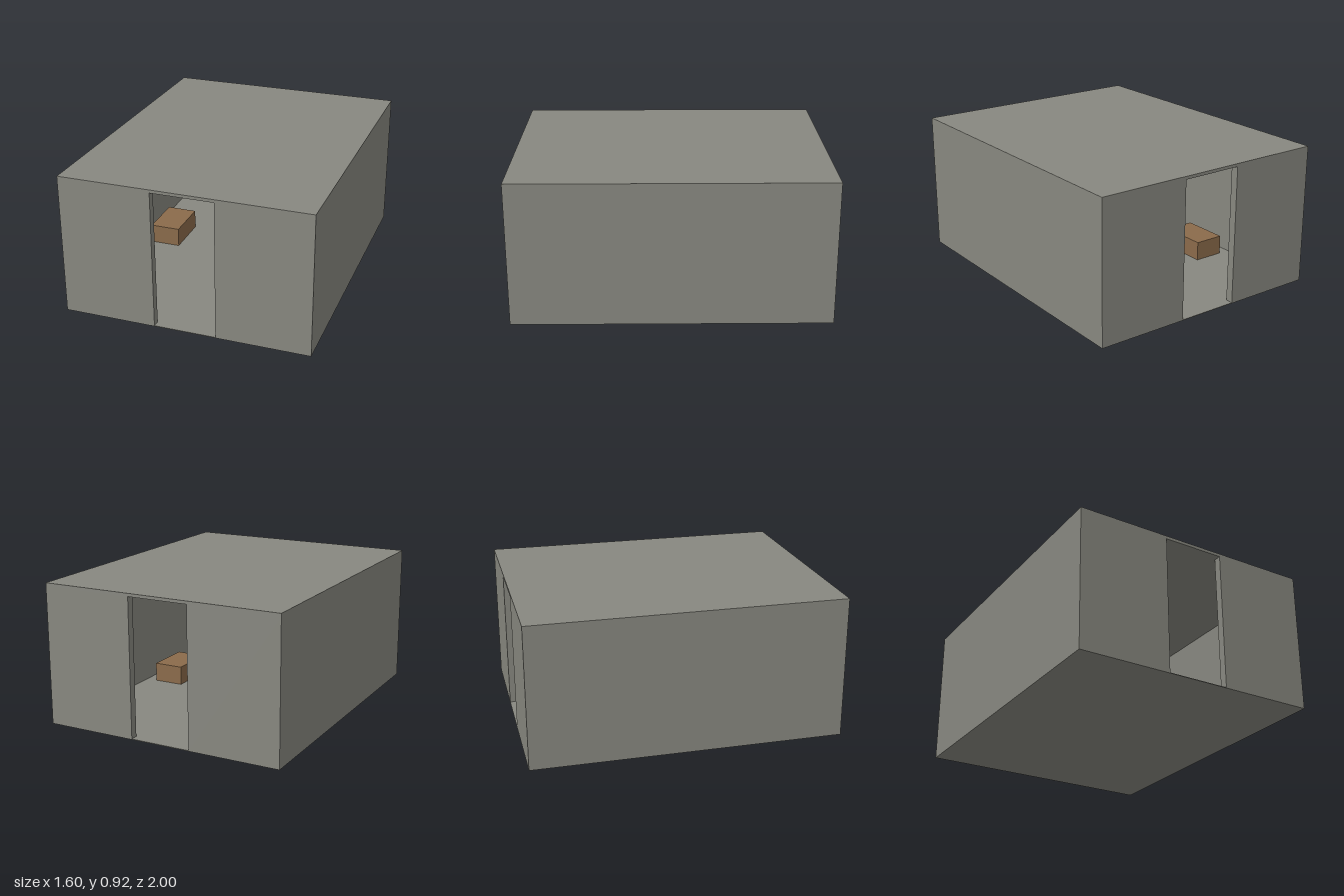
import * as THREE from 'three';

export function createModel() {
  const model = new THREE.Group();
  const concrete = new THREE.MeshStandardMaterial({ color: 0x888880 });
  concrete.name = 'concrete';
  const wood = new THREE.MeshStandardMaterial({ color: 0x8b6b4b });
  wood.name = 'wood';

  // Box placed by its minimum and maximum corners
  function block(name, material, [x0, y0, z0], [x1, y1, z1]) {
    const geometry = new THREE.BoxGeometry(x1 - x0, y1 - y0, z1 - z0);
    geometry.translate((x0 + x1) / 2, (y0 + y1) / 2, (z0 + z1) / 2);
    const mesh = new THREE.Mesh(geometry, material);
    mesh.name = name;
    return mesh;
  }

  const W = 0.8, D = 1, H = 0.9, T = 0.05, DOOR = 0.2;

  // Thin floor and flat roof slab
  model.add(block('floor', concrete, [-W, 0, -D], [W, 0.004, D]));
  model.add(block('roof', concrete, [-W, H, -D], [W, H + 0.02, D]));

  // Each half: a side wall, two end wall panels beside the doorway, a crate;
  // the second half is the first turned half way round
  ['left', 'right'].forEach((side, i) => {
    const half = new THREE.Group();
    half.name = side + 'Half';
    half.add(block('sideWall', concrete, [W - T, 0, -D + T], [W, H, D - T]));
    half.add(block('frontPanel', concrete, [DOOR, 0, D - T], [W, H, D]));
    half.add(block('backPanel', concrete, [DOOR, 0, -D], [W, H, -D + T]));
    half.add(block('crate', wood, [0.47, 0.002, 0.04], [0.675, 0.132, 0.36]));
    half.rotation.y = i * Math.PI;
    model.add(half);
  });

  return model;
}
